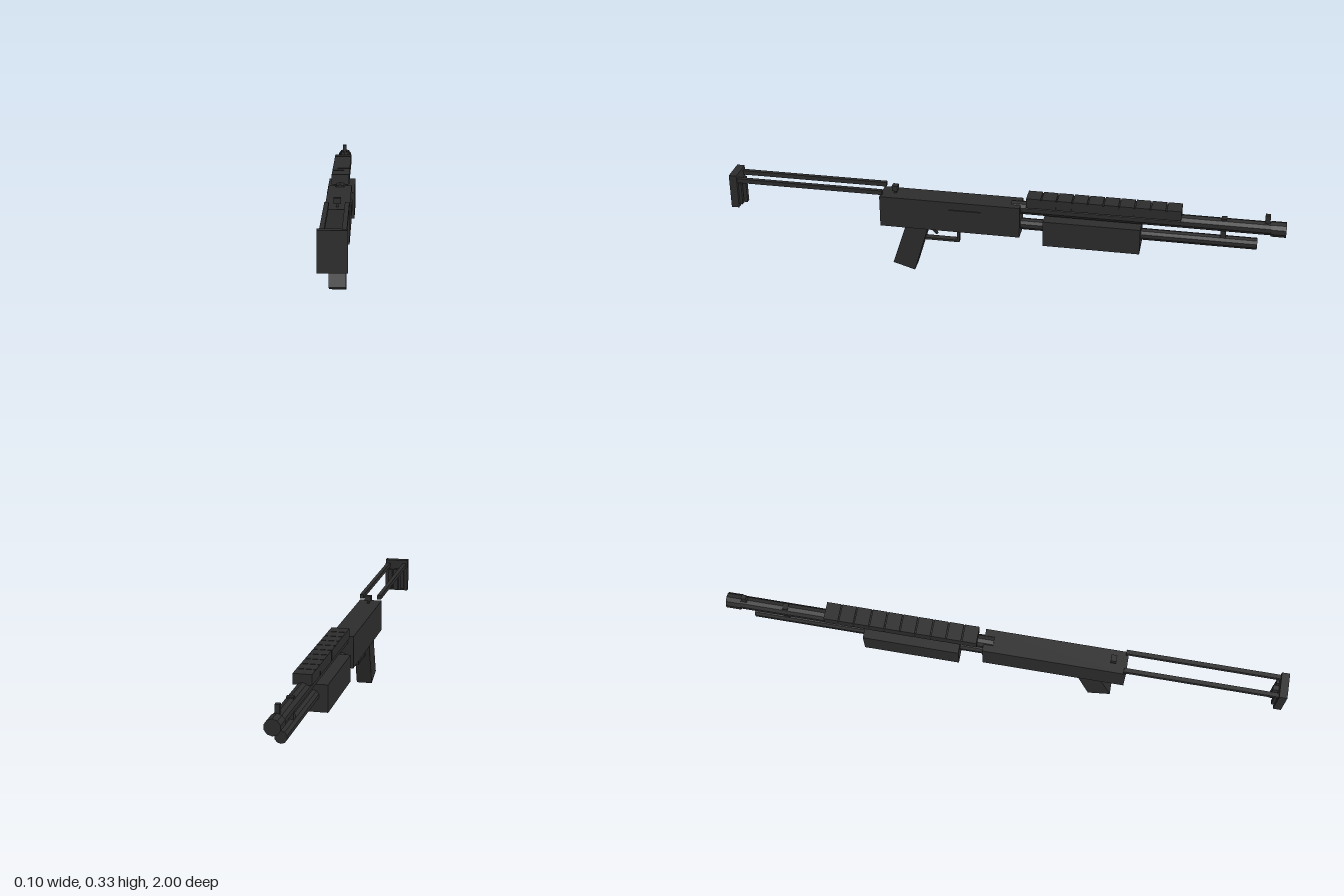
import * as THREE from 'three';

export function createModel() {
  const model = new THREE.Group();
  const gunmetal = new THREE.MeshStandardMaterial({ color: 0x2c2c2c, flatShading: true });
  gunmetal.name = 'dark gunmetal';

  const add = (name, geometry) => {
    const mesh = new THREE.Mesh(geometry, gunmetal);
    mesh.name = name;
    model.add(mesh);
    return mesh;
  };
  // Box from its extents on each axis
  const box = (name, x0, x1, y0, y1, z0, z1) =>
    add(name, new THREE.BoxGeometry(x1 - x0, y1 - y0, z1 - z0)
      .translate((x0 + x1) / 2, (y0 + y1) / 2, (z0 + z1) / 2));
  // Tube lying along z
  const rod = (name, r, y, z0, z1, sides = 10) =>
    add(name, new THREE.CylinderGeometry(r, r, z1 - z0, sides)
      .rotateX(Math.PI / 2).translate(0, y, (z0 + z1) / 2));
  // Side profile in (z, y), extruded symmetrically across x
  const profile = (name, points, width) =>
    add(name, new THREE.ExtrudeGeometry(
      new THREE.Shape(points.map(([z, y]) => new THREE.Vector2(z, y))),
      { depth: width, bevelEnabled: false })
      .translate(0, 0, -width / 2).rotateY(-Math.PI / 2));

  // Receiver with its raised side port and underside plate
  box('receiver', -0.042, 0.042, 0.18, 0.297, -0.07, 0.44);
  box('sidePort', 0.04, 0.046, 0.232, 0.268, 0.07, 0.185);
  box('triggerPlate', -0.015, 0.015, 0.175, 0.182, 0.09, 0.28);

  // Barrel, muzzle ring and lower tube
  rod('barrel', 0.024, 0.281, -0.97, -0.035);
  rod('muzzle', 0.0275, 0.28, -1, -0.947);
  rod('lowerTube', 0.021, 0.216, -0.905, -0.06);
  box('tubeClamp', -0.012, 0.012, 0.215, 0.308, -0.795, -0.776);

  // Sliding handguard
  box('handguard', -0.051, 0.051, 0.16, 0.256, -0.5, -0.155);

  // Segmented top cover
  box('topCoverBase', -0.031, 0.031, 0.297, 0.328, -0.638, -0.092);
  const count = 10, pitch = 0.55 / count;
  for (let i = 0; i < count; i++) {
    const z = -0.64 + i * pitch;
    box('topCoverSegment', -0.032, 0.032, 0.296, 0.333, z + 0.002, z + pitch - 0.002);
  }

  // Sights
  box('frontSight', -0.008, 0.008, 0.3, 0.333, -0.943, -0.925);
  box('rearSight', -0.012, 0.012, 0.308, 0.328, 0.38, 0.4);
  box('rearSightStem', -0.004, 0.004, 0.295, 0.31, 0.386, 0.394);

  // Raked grip
  profile('grip', [[0.4, 0.024], [0.32, 0], [0.265, 0.185], [0.348, 0.185]], 0.058);

  // Trigger and its guard
  profile('trigger', [[0.254, 0.18], [0.248, 0.162], [0.236, 0.146],
    [0.242, 0.144], [0.256, 0.16], [0.264, 0.18]], 0.012);
  box('guardBottom', -0.012, 0.012, 0.122, 0.13, 0.155, 0.285);
  box('guardFront', -0.012, 0.012, 0.124, 0.18, 0.155, 0.164);

  // Skeleton stock: two rails and a ribbed end plate
  for (const s of [-1, 1]) {
    const x = s * 0.034;
    box('stockRail', x - 0.0075, x + 0.0075, 0.304, 0.32, 0.43, 0.975);
    box('endPlateSideRib', s * 0.025 - 0.008, s * 0.025 + 0.008, 0.212, 0.295, 0.962, 0.975);
  }
  box('endPlate', -0.046, 0.046, 0.205, 0.333, 0.972, 1);
  box('endPlateCentreRib', -0.009, 0.009, 0.21, 0.297, 0.952, 0.975);

  return model;
}
